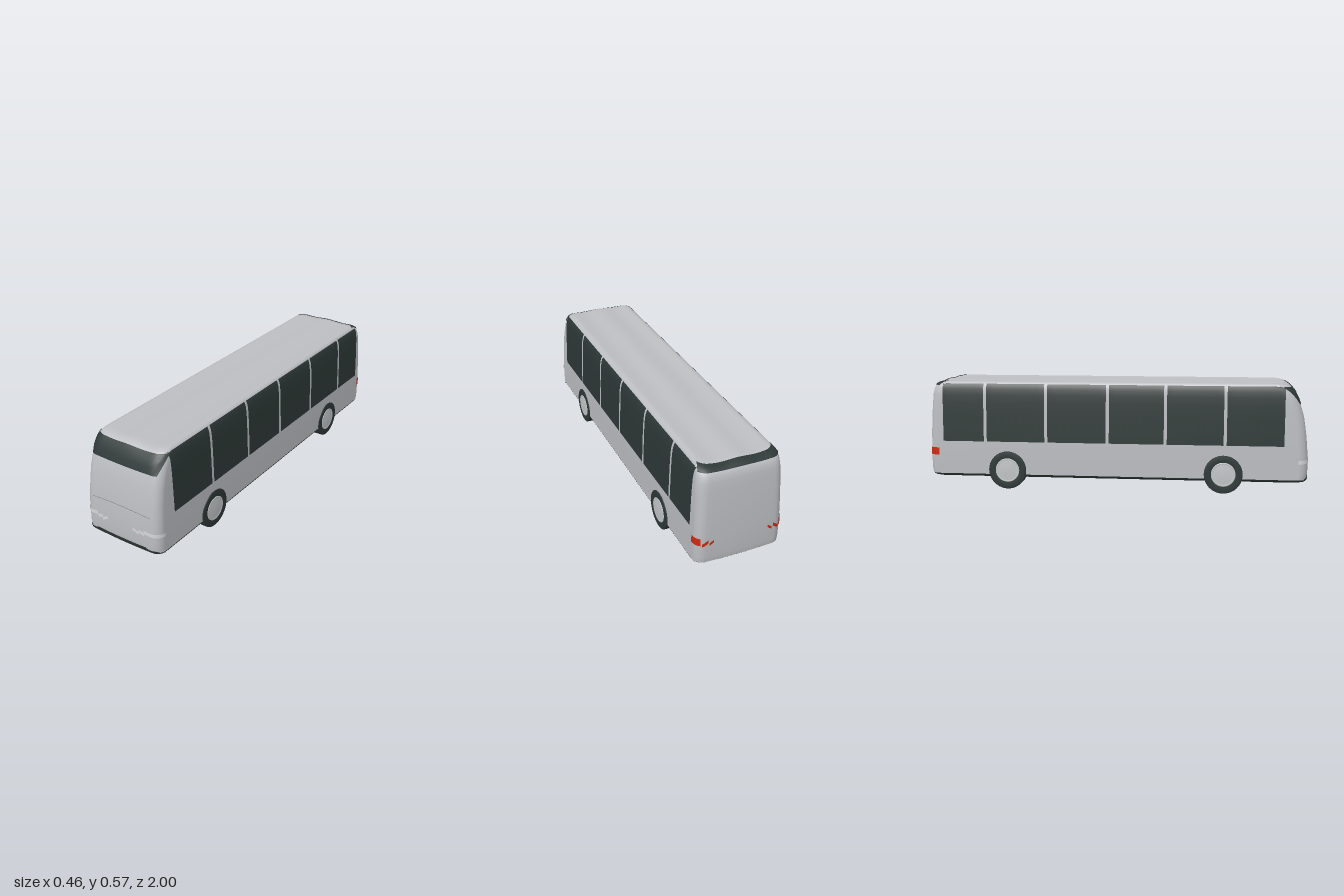
import * as THREE from 'three';

const mat = (name, color, side = THREE.FrontSide) => {
  const m = new THREE.MeshStandardMaterial({ color, side });
  m.name = name;
  return m;
};

// Body profile by height: y, half width, front z, rear z
const PROFILE = [
  [0.063, 0.208, 0.972, 0.968], [0.068, 0.217, 0.986, 0.986], [0.077, 0.221, 0.995, 0.995],
  [0.11, 0.221, 1.0, 1.0], [0.2, 0.221, 0.999, 1.0], [0.3, 0.218, 0.99, 0.998],
  [0.4, 0.215, 0.975, 0.993], [0.46, 0.2125, 0.957, 0.988], [0.5, 0.21, 0.942, 0.985],
  [0.53, 0.206, 0.926, 0.978], [0.55, 0.2, 0.908, 0.965], [0.56, 0.193, 0.893, 0.945],
  [0.565, 0.183, 0.875, 0.925], [0.567, 0.17, 0.85, 0.9],
];
const R = 0.045, BOW = 0.008, OFF = 0.004;

function profileAt(y) {
  let i = 1;
  while (i < PROFILE.length - 1 && PROFILE[i][0] < y) i++;
  const a = PROFILE[i - 1], b = PROFILE[i];
  const t = THREE.MathUtils.clamp((y - a[0]) / (b[0] - a[0]), 0, 1);
  return [1, 2, 3].map((k) => a[k] + (b[k] - a[k]) * t);
}

// Point on the front (end 1) or rear (end -1), s = distance round from the centre line
function skin(y, s, end, off = 0) {
  const [hw, zf, zb] = profileAt(y);
  const zEnd = end > 0 ? zf : zb, flat = hw - R, q = Math.PI / 2;
  const over = Math.max(0, Math.abs(s) - flat), th = Math.min(over / R, q);
  const rr = R + off;
  const ax = Math.min(Math.abs(s), flat) + rr * Math.sin(th);
  const z = zEnd - R + rr * Math.cos(th) - Math.max(0, over - R * q) - BOW * Math.min(1, ax / hw) ** 2;
  const ridge = 0.003 * Math.max(0, (y - 0.54) / 0.027) * Math.cos((2 * Math.PI * ax) / 0.185);
  return [Math.sign(s) * ax, y + ridge + (y > 0.52 ? off * 0.5 : 0), end * z];
}

function build(pos, idx) {
  const g = new THREE.BufferGeometry();
  g.setAttribute('position', new THREE.Float32BufferAttribute(pos, 3));
  g.setIndex(idx);
  g.computeVertexNormals();
  return g;
}

// Closed shell through the given heights, with a cap joining front to rear
function shell(ys, capTop) {
  const pos = [], idx = [], flatN = 16, arcN = 6;
  const m = flatN + 2 * arcN + 1, n = 2 * m;
  for (const y of ys) {
    const flat = profileAt(y)[0] - R, ss = [];
    for (let i = -arcN; i < 0; i++) ss.push(-flat + (i / arcN) * R * Math.PI / 2);
    for (let i = 0; i <= flatN; i++) ss.push(flat * (2 * i / flatN - 1));
    for (let i = 1; i <= arcN; i++) ss.push(flat + (i / arcN) * R * Math.PI / 2);
    ss.forEach((s) => pos.push(...skin(y, s, 1)));
    ss.forEach((s) => pos.push(...skin(y, -s, -1)));
  }
  for (let i = 0; i < ys.length - 1; i++) for (let j = 0; j < n; j++) {
    const a = i * n + j, b = i * n + (j + 1) % n;
    idx.push(a, b, b + n, a, b + n, a + n);
  }
  const base = capTop ? (ys.length - 1) * n : 0;
  for (let j = 0; j < m - 1; j++) {
    const a = base + j, b = a + 1, d = base + n - 1 - j, c = d - 1;
    if (capTop) idx.push(a, b, c, a, c, d);
    else idx.push(a, c, b, a, d, c);
  }
  return build(pos, idx);
}

// Thin painted panel between two heights; fn(u, y, v) gives a point
function panel(y0, y1, fn, nu, flip) {
  const ys = [y0, ...PROFILE.map((p) => p[0]).filter((y) => y > y0 && y < y1), y1];
  const pos = [], idx = [];
  for (const y of ys) for (let i = 0; i <= nu; i++) pos.push(...fn(i / nu, y, (y - y0) / (y1 - y0)));
  for (let r = 0; r < ys.length - 1; r++) for (let i = 0; i < nu; i++) {
    const a = r * (nu + 1) + i, b = a + 1, c = b + nu + 1, d = a + nu + 1;
    if (flip) idx.push(a, c, b, a, d, c);
    else idx.push(a, b, c, a, c, d);
  }
  return build(pos, idx);
}

// Panel on an end: s range at the bottom and top, slope lifts y along s
function endPanel(end, y0, y1, [b0, b1], [t0, t1] = [b0, b1], slope = 0, off = OFF) {
  const fn = (u, y, v) => {
    const s0 = b0 + (t0 - b0) * v, s1 = b1 + (t1 - b1) * v;
    return skin(y + slope * u * (s1 - s0), s0 + (s1 - s0) * u, end, off);
  };
  return panel(y0, y1, fn, 28, end < 0);
}

export function createModel() {
  const bus = new THREE.Group();
  bus.name = 'bus';
  const paint = mat('silverPaint', 0xbcbec2);
  const dark = mat('darkGlassAndRubber', 0x2d3836, THREE.DoubleSide);
  const red = mat('tailLightRed', 0xcc2a10, THREE.DoubleSide);
  const lamp = mat('headlightWhite', 0xd6d7d9, THREE.DoubleSide);
  const seam = mat('seamGrey', 0x77797c);
  const rim = mat('rimSilver', 0xc4c7c9);
  const add = (name, geo, m, parent = bus) => {
    const mesh = new THREE.Mesh(geo, m);
    mesh.name = name;
    parent.add(mesh);
    return mesh;
  };

  // Shell and underside
  const ys = PROFILE.map((p) => p[0]);
  add('body', shell(ys.slice(2), true), paint);
  add('underside', shell(ys.slice(0, 3), false), dark);
  add('frontBumperWide', endPanel(1, 0.068, 0.089, [-0.235, 0.235], [-0.2, 0.2]), dark);
  add('frontBumperCentre', endPanel(1, 0.086, 0.098, [-0.165, 0.165], [-0.145, 0.145]), dark);

  // Windscreen and rear window
  add('windscreen', endPanel(1, 0.468, 0.552, [-0.19, 0.19], [-0.222, 0.222]), dark);
  add('rearWindow', endPanel(-1, 0.545, 0.5645, [-0.21, 0.21], [-0.195, 0.195]), dark);

  // Side windows, following the wall
  const edges = [0.87, 0.57, 0.262, -0.04, -0.365, -0.69, -0.917];
  for (const side of [1, -1]) {
    for (let i = 0; i < edges.length - 1; i++) {
      const za = edges[i] - (i ? 0.008 : 0);
      const zb = edges[i + 1] + (i < edges.length - 2 ? 0.008 : 0);
      const fn = (u, y) => {
        const [hw, zf, zr] = profileAt(y), z = za + (zb - za) * u;
        const d = Math.min(R, Math.max(0, z - (zf - R - BOW), -z - (zr - R - BOW)));
        return [side * (hw - R + Math.sqrt(R * R - d * d) + OFF * 0.75), y, z];
      };
      add('sideWindow', panel(0.252, 0.557, fn, 8, side < 0), dark);
    }
  }

  // Lamps: a wrapped corner block and two slashes on each side
  const lamps = (name, end, m, pieces) => {
    for (const side of [1, -1]) for (const [s0, s1, y0, y1, slope] of pieces) {
      const range = side > 0 ? [s0, s1] : [-s1, -s0];
      const lift = side > 0 ? 0 : slope * (s1 - s0);
      add(name, endPanel(end, y0 + lift, y1 + lift, range, range, -side * -slope, 0.003), m);
    }
  };
  // Slope is negative so each piece rises toward the centre line
  lamps('headlight', 1, lamp, [
    [0.14, 0.25, 0.171, 0.19, -0.1], [0.11, 0.14, 0.168, 0.184, -0.28], [0.075, 0.11, 0.17, 0.185, -0.45],
  ]);
  lamps('tailLight', -1, red, [
    [0.2, 0.252, 0.177, 0.216, 0], [0.166, 0.194, 0.188, 0.206, -0.7], [0.138, 0.16, 0.188, 0.202, -0.7],
  ]);

  // Curved seam below the windscreen
  const pts = [];
  for (let i = -6; i <= 6; i++) {
    const x = (i / 6) * 0.174;
    pts.push(new THREE.Vector3(...skin(0.27 - 0.01 * (i / 6) ** 2, x, 1)));
  }
  add('frontSeam', new THREE.TubeGeometry(new THREE.CatmullRomCurve3(pts), 32, 0.0012, 6), seam);

  // Wheels
  const v2 = (list) => list.map(([r, h]) => new THREE.Vector2(r, h));
  const tyre = new THREE.LatheGeometry(v2([
    [0, -0.034], [0.09, -0.034], [0.1, -0.022], [0.1, 0.0285], [0.096, 0.0315], [0.07, 0.032], [0.058, 0.029], [0, 0.029],
  ]), 40);
  const hub = new THREE.LatheGeometry(v2([
    [0.064, 0.028], [0.063, 0.033], [0.058, 0.033], [0.053, 0.031], [0.049, 0.033], [0, 0.034],
  ]), 40);
  for (const side of [1, -1]) for (const z of [0.563, -0.573]) {
    const wheel = new THREE.Group();
    wheel.name = z > 0 ? 'frontWheel' : 'rearWheel';
    wheel.position.set(side * 0.194, 0.1, z);
    wheel.rotation.z = -side * Math.PI / 2;
    add('tyre', tyre, dark, wheel);
    add('hub', hub, rim, wheel);
    bus.add(wheel);
  }
  return bus;
}
